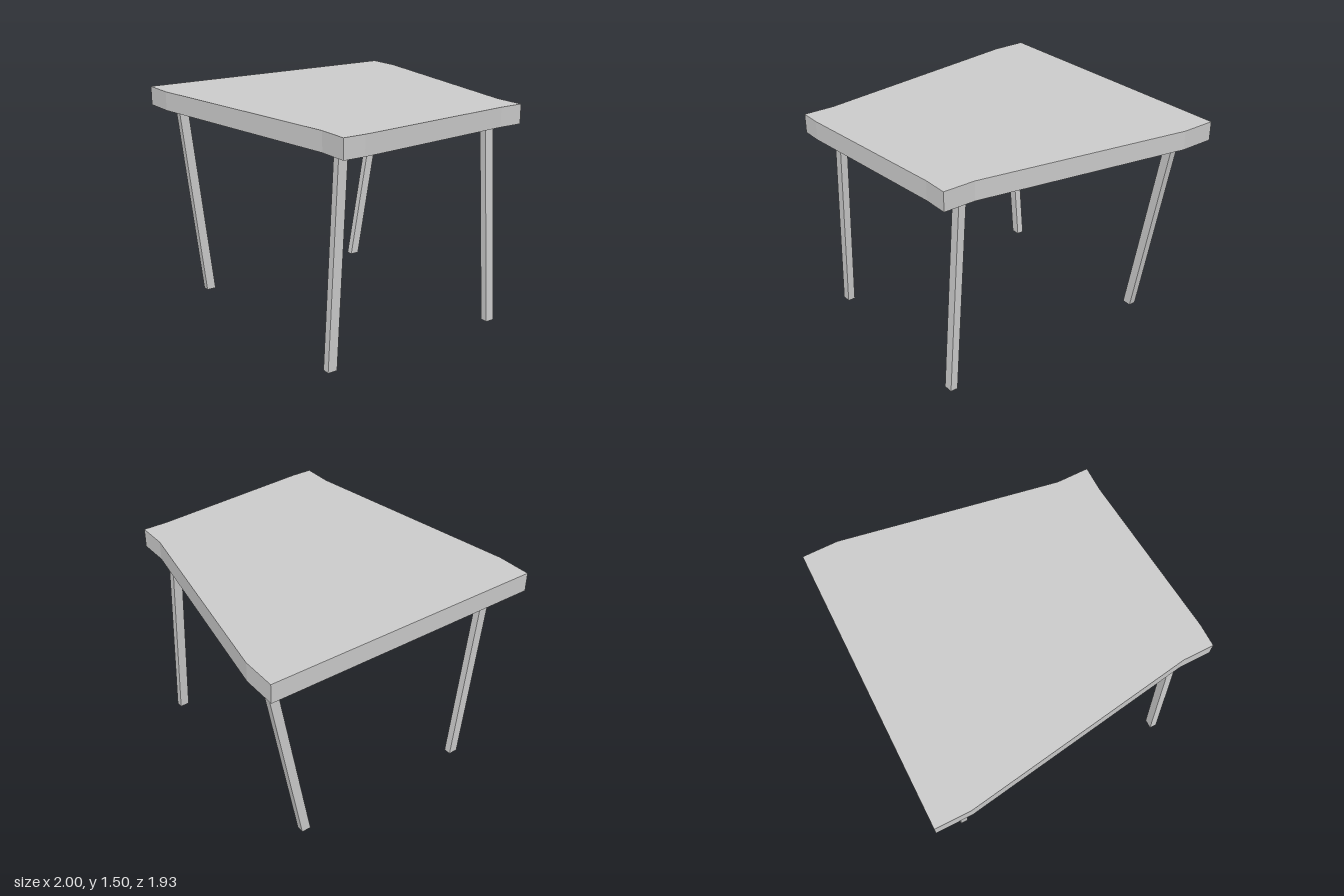
import * as THREE from 'three';

const TOP = 1.495, UNDERSIDE = 1.366;

export function createModel() {
  const group = new THREE.Group();
  group.name = 'table';
  const material = new THREE.MeshStandardMaterial({ color: 0xcccccc, flatShading: true });

  // Tabletop: irregular outline in (x, z), extruded upwards
  const outline = [
    [-1, 0.965], [-0.76, 0.965], [0.79, 0.727], [1, 0.727], [1, 0.58],
    [0.905, -0.54], [0.905, -0.71], [0.69, -0.71], [-0.76, -0.968], [-1, -0.968],
  ];
  const shape = new THREE.Shape(outline.map(([x, z]) => new THREE.Vector2(x, -z)));
  const slab = new THREE.ExtrudeGeometry(shape, { depth: TOP - UNDERSIDE, bevelEnabled: false });
  slab.rotateX(-Math.PI / 2).translate(0, UNDERSIDE, 0);
  const tabletop = new THREE.Mesh(slab, material);
  tabletop.name = 'tabletop';
  group.add(tabletop);

  // Legs: boxes sheared so the top end is shifted from the foot
  const addLeg = (name, foot, head) => {
    const geometry = new THREE.BoxGeometry(0.051, UNDERSIDE, 0.065);
    geometry.translate(0, UNDERSIDE / 2, 0);
    const p = geometry.attributes.position;
    for (let i = 0; i < p.count; i++) {
      const end = p.getY(i) > UNDERSIDE / 2 ? head : foot;
      p.setX(i, p.getX(i) + end[0]);
      p.setZ(i, p.getZ(i) + end[1]);
    }
    geometry.computeVertexNormals();
    const leg = new THREE.Mesh(geometry, material);
    leg.name = name;
    group.add(leg);
  };
  addLeg('frontRightLeg', [-0.775, 0.696], [-0.775, 0.845]);
  addLeg('frontLeftLeg', [0.811, 0.696], [0.811, 0.613]);
  addLeg('backRightLeg', [-0.775, -0.595], [-0.775, -0.85]);
  addLeg('backLeftLeg', [0.811, -0.595], [0.717, -0.595]);

  return group;
}
